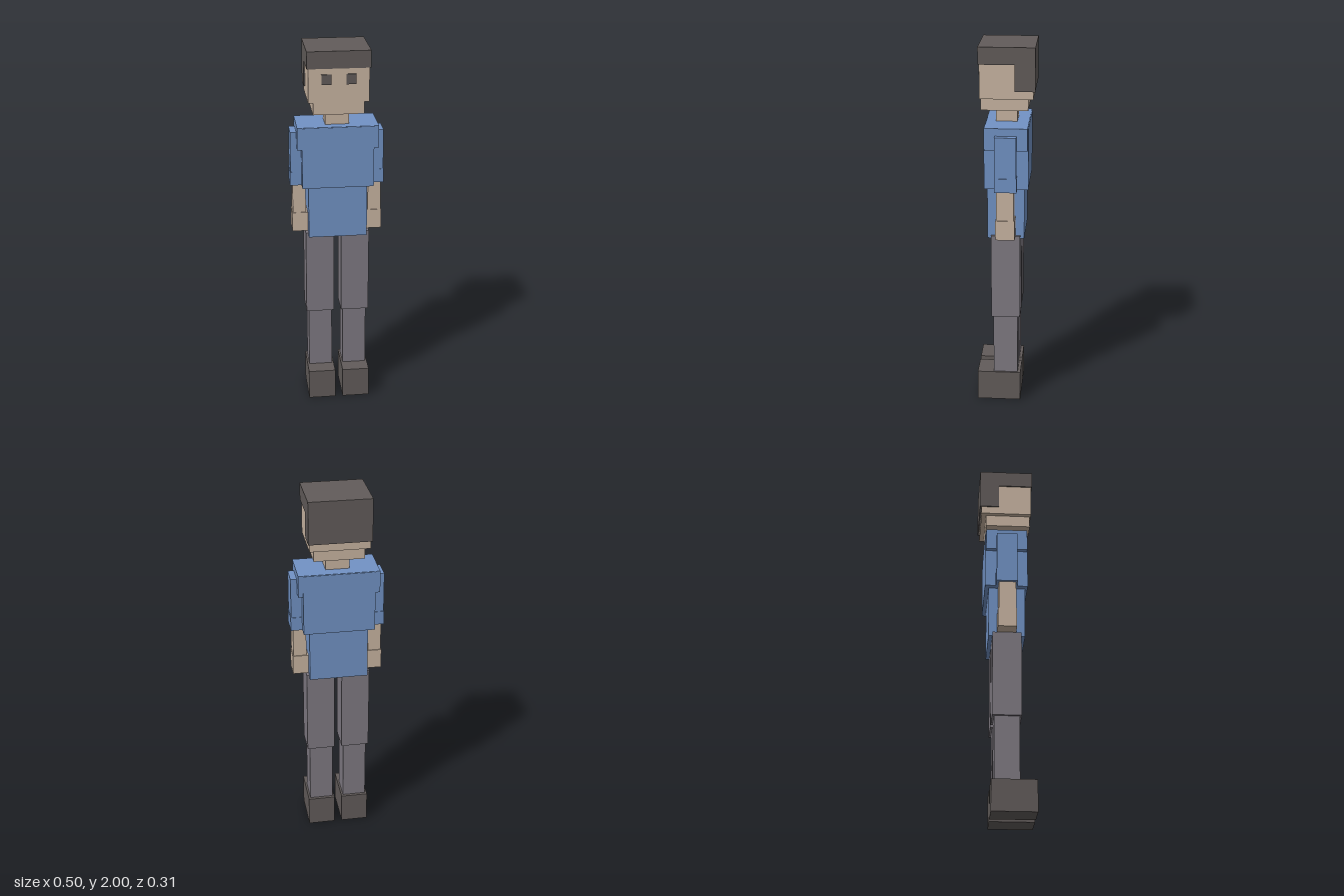
import * as THREE from 'three';

const mat = (name, color) => {
  const m = new THREE.MeshStandardMaterial({ color });
  m.name = name;
  return m;
};

export function createModel() {
  const skin = mat('skin', 0xc9b5a2);
  const shirt = mat('shirt blue', 0x7293c5);
  const trousers = mat('trouser grey', 0x7f7a82);
  const dark = mat('dark brown', 0x625c5a);

  const model = new THREE.Group();
  model.name = 'blockFigure';

  // Box given by its extents on each axis
  const box = (parent, name, material, [x0, x1], [y0, y1], [z0, z1]) => {
    const mesh = new THREE.Mesh(new THREE.BoxGeometry(x1 - x0, y1 - y0, z1 - z0), material);
    mesh.position.set((x0 + x1) / 2, (y0 + y1) / 2, (z0 + z1) / 2);
    mesh.name = name;
    parent.add(mesh);
  };
  const group = (name) => {
    const g = new THREE.Group();
    g.name = name;
    model.add(g);
    return g;
  };

  // Head, jaw and neck
  const head = group('head');
  box(head, 'face', skin, [-0.158, 0.158], [1.73, 1.93], [-0.145, 0.134]);
  box(head, 'jaw', skin, [-0.133, 0.133], [1.665, 1.73], [-0.118, 0.128]);
  box(head, 'neck', skin, [-0.063, 0.063], [1.585, 1.665], [-0.058, 0.055]);

  // Hair cap: L-shaped side profile (z, y) extruded across the head
  const profile = new THREE.Shape([
    [-0.155, 1.772], [-0.048, 1.772], [-0.048, 1.91], [0.14, 1.91], [0.14, 2], [-0.155, 2],
  ].map(([z, y]) => new THREE.Vector2(z, y)));
  const hairGeometry = new THREE.ExtrudeGeometry(profile, { depth: 0.33, bevelEnabled: false });
  hairGeometry.translate(0, 0, -0.165).rotateY(-Math.PI / 2);
  const hair = new THREE.Mesh(hairGeometry, dark);
  hair.name = 'hair';
  head.add(hair);

  // Shirt body: shoulders, chest, waist
  const torso = group('torso');
  box(torso, 'shoulders', shirt, [-0.215, 0.215], [1.47, 1.59], [-0.12, 0.106]);
  box(torso, 'chest', shirt, [-0.19, 0.19], [1.255, 1.588], [-0.124, 0.109]);
  box(torso, 'waist', shirt, [-0.157, 0.157], [0.968, 1.257], [-0.102, 0.095]);

  // Mirrored eyes, arms and legs
  for (const [side, s] of [['left', 1], ['right', -1]]) {
    const span = (a, b) => (s > 0 ? [a, b] : [-b, -a]);

    box(head, side + 'Eye', dark, span(0.038, 0.09), [1.827, 1.88], [0.133, 0.141]);

    const arm = group(side + 'Arm');
    box(arm, 'sleeve', shirt, span(0.165, 0.248), [1.32, 1.55], [-0.063, 0.05]);
    box(arm, 'cuff', shirt, span(0.163, 0.251), [1.255, 1.33], [-0.066, 0.051]);
    box(arm, 'forearm', skin, span(0.168, 0.238), [1.09, 1.26], [-0.051, 0.042]);
    box(arm, 'hand', skin, span(0.158, 0.242), [0.988, 1.095], [-0.056, 0.046]);

    const leg = group(side + 'Leg');
    box(leg, 'thigh', trousers, span(0.02, 0.172), [0.512, 0.985], [-0.081, 0.075]);
    box(leg, 'shin', trousers, span(0.031, 0.159), [0.165, 0.515], [-0.069, 0.064]);
    box(leg, 'shoe', dark, span(0.021, 0.169), [0, 0.169], [-0.085, 0.153]);
  }

  return model;
}
